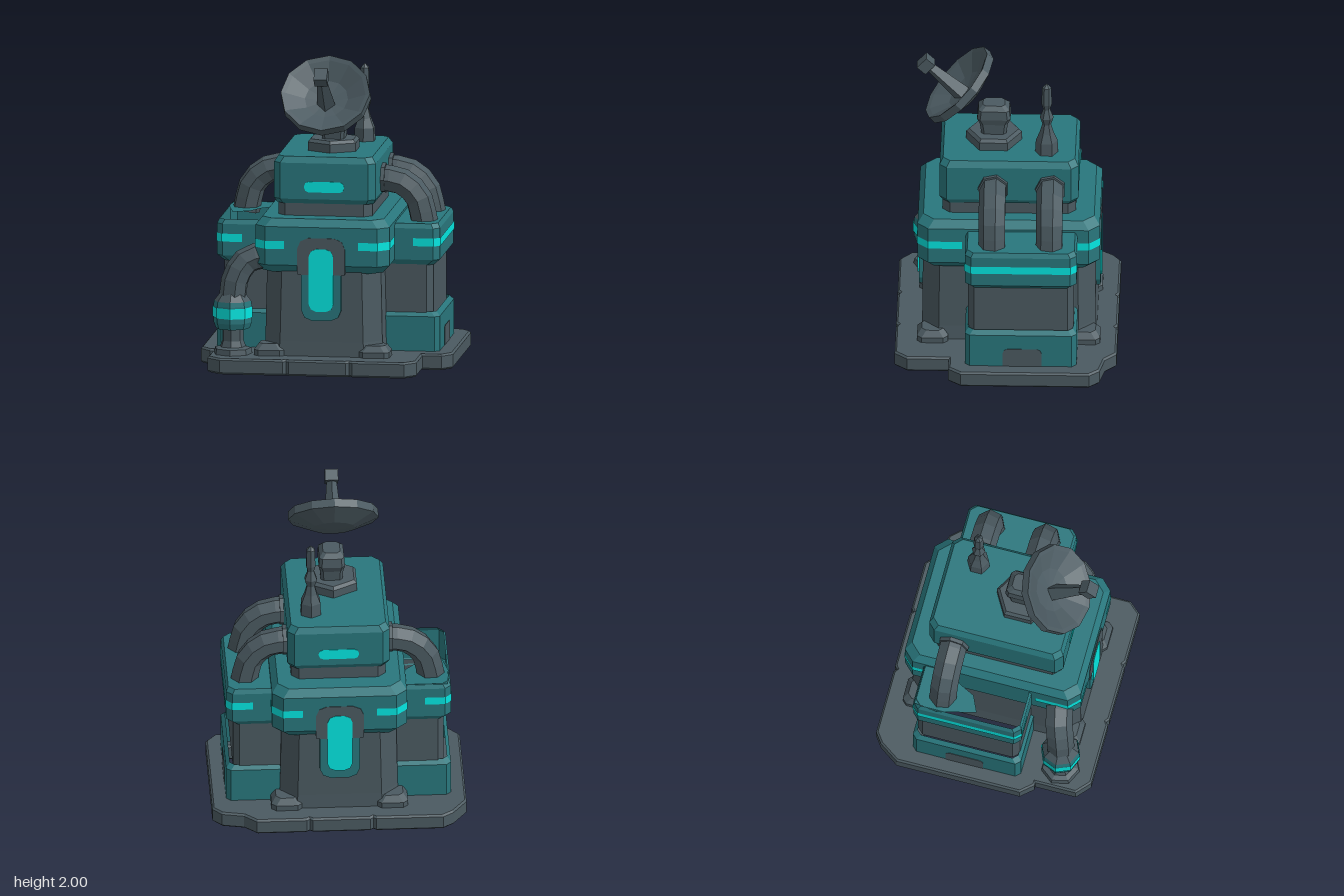
import * as THREE from 'three';

const material = (name, color) =>
  new THREE.MeshStandardMaterial({ name, color, side: THREE.DoubleSide });

// Faceted normals for low-poly parts
function facet(geometry) {
  const g = geometry.index ? geometry.toNonIndexed() : geometry;
  g.computeVertexNormals();
  return g;
}

// Stacked chamfered rectangles; sections are [y, halfX, halfZ]
function loft(sections, chamfer, capTop = true, capBottom = true) {
  const rings = sections.map(([y, hx, hz]) => {
    const c = chamfer;
    return [[hx, -hz + c], [hx, hz - c], [hx - c, hz], [-hx + c, hz],
      [-hx, hz - c], [-hx, -hz + c], [-hx + c, -hz], [hx - c, -hz]].map(([x, z]) => [x, y, z]);
  });
  const v = [];
  const tri = (a, b, c) => v.push(...a, ...b, ...c);
  for (let i = 0; i < 8; i++) {
    const j = (i + 1) % 8;
    for (let k = 0; k + 1 < rings.length; k++) {
      const a = rings[k], b = rings[k + 1];
      tri(a[i], b[i], b[j]);
      tri(a[i], b[j], a[j]);
    }
    const top = rings[rings.length - 1], bottom = rings[0];
    if (capTop) tri([0, top[0][1], 0], top[j], top[i]);
    if (capBottom) tri([0, bottom[0][1], 0], bottom[i], bottom[j]);
  }
  const g = new THREE.BufferGeometry();
  g.setAttribute('position', new THREE.Float32BufferAttribute(v, 3));
  return facet(g);
}

// Upright ribbon following [x, z] points
function ribbon(points, y0, y1) {
  const v = [];
  for (let i = 0; i + 1 < points.length; i++) {
    const [ax, az] = points[i], [bx, bz] = points[i + 1];
    v.push(ax, y0, az, bx, y0, bz, bx, y1, bz, ax, y0, az, bx, y1, bz, ax, y1, az);
  }
  const g = new THREE.BufferGeometry();
  g.setAttribute('position', new THREE.Float32BufferAttribute(v, 3));
  return facet(g);
}

const polygon = points => new THREE.Shape(points.map(([x, y]) => new THREE.Vector2(x, y)));

// Plate with cut corners, extruded forward from z = 0
function plate(w, y0, y1, depth, cutTop, cutBottom) {
  const t = cutTop, b = cutBottom;
  return new THREE.ExtrudeGeometry(polygon([
    [-w + b, y0], [w - b, y0], [w - b * 0.3, y0 + b * 0.3], [w, y0 + b],
    [w, y1 - t], [w - t * 0.3, y1 - t * 0.3], [w - t, y1],
    [-w + t, y1], [-w + t * 0.3, y1 - t * 0.3], [-w, y1 - t],
    [-w, y0 + b], [-w + b * 0.3, y0 + b * 0.3]]), { depth, bevelEnabled: false });
}

const lathe = (points, sides) =>
  facet(new THREE.LatheGeometry(points.map(([r, y]) => new THREE.Vector2(r, y)), sides));

function pipe(points, radius) {
  const curve = new THREE.CatmullRomCurve3(points.map(p => new THREE.Vector3(...p)));
  return facet(new THREE.TubeGeometry(curve, 6, radius, 7));
}

export function createModel() {
  const model = new THREE.Group();
  model.name = 'outpost';
  const grey = material('slate grey', 0x4b5a61);
  const teal = material('teal', 0x29777d);
  const cyan = material('glowing cyan', 0x04f4ee);

  function add(name, geometry, mat, x = 0, y = 0, z = 0, parent = model) {
    const mesh = new THREE.Mesh(geometry, mat);
    mesh.name = name;
    mesh.position.set(x, y, z);
    parent.add(mesh);
    return mesh;
  }

  // Base slab with notched edges, open under the building
  const base = polygon([[-0.82, -0.28], [-0.75, -0.36], [-0.73, -0.36], [-0.73, -0.63], [-0.64, -0.71],
    [-0.23, -0.71], [-0.21, -0.695], [-0.19, -0.71], [0.18, -0.71], [0.2, -0.695], [0.22, -0.71],
    [0.56, -0.71], [0.63, -0.63], [0.63, -0.36], [0.755, -0.36], [0.82, -0.28], [0.82, 0.55],
    [0.76, 0.615], [0.62, 0.645], [0.54, 0.72], [0.22, 0.72], [0.2, 0.705], [0.18, 0.72],
    [-0.19, 0.72], [-0.21, 0.705], [-0.23, 0.72], [-0.66, 0.72], [-0.73, 0.67], [-0.82, 0.54]]);
  base.holes.push(polygon([[-0.68, -0.2], [-0.36, -0.2], [-0.36, -0.5], [0.36, -0.5], [0.36, -0.2],
    [0.68, -0.2], [0.68, 0.42], [0.36, 0.42], [0.36, 0.54], [-0.36, 0.54], [-0.36, 0.42], [-0.68, 0.42]]));
  add('baseSlab', new THREE.ExtrudeGeometry(base, {
    depth: 0.08, bevelSize: 0.012, bevelOffset: -0.012, bevelThickness: 0.012, bevelSegments: 1,
  }).rotateX(-Math.PI / 2), grey, 0, 0.012, 0);

  // Main tower
  const cz = -0.02;
  add('towerWall', loft([[0.09, 0.39, 0.565], [0.2, 0.38, 0.56], [0.67, 0.37, 0.555]], 0.11, false, false),
    grey, 0, 0, cz);
  add('towerCollar', loft([[0.65, 0.39, 0.55], [0.7, 0.435, 0.587], [0.95, 0.435, 0.587], [1, 0.395, 0.55]], 0.07),
    teal, 0, 0, cz);
  add('neck', loft([[0.99, 0.305, 0.43], [1.1, 0.305, 0.43]], 0.05), grey, 0, 0, cz);
  add('upperBox', loft([[1.08, 0.315, 0.43], [1.11, 0.33, 0.447], [1.345, 0.33, 0.447], [1.385, 0.305, 0.425]], 0.045),
    teal, 0, 0, cz);

  // Window, slot and frame on front and back
  for (const [side, turn] of [['front', 0], ['back', Math.PI]]) {
    const face = new THREE.Group();
    face.name = side + 'Window';
    face.position.z = cz;
    face.rotation.y = turn;
    model.add(face);
    add('windowHood', plate(0.155, 0.64, 0.88, 0.091, 0.07, 0.01), grey, 0, 0, 0.5, face);
    add('windowFrame', plate(0.13, 0.34, 0.68, 0.085, 0.01, 0.07), teal, 0, 0, 0.5, face);
    add('windowGlass', plate(0.08, 0.4, 0.81, 0.009, 0.05, 0.05), cyan, 0, 0, 0.585, face);
    add('slotLight', plate(0.13, 1.155, 1.225, 0.005, 0.03, 0.03), cyan, 0, 0, 0.445, face);
  }

  // Mirrored side parts
  for (const s of [1, -1]) {
    const left = s > 0;
    const label = left ? 'left' : 'right';
    const z = -0.105;
    add(label + 'BlockWall', loft([[0.32, 0.18, 0.34], [0.7, 0.18, 0.34]], 0.04, false, false),
      grey, s * 0.5, 0, z);
    add(label + 'BlockFoot', loft([[0.09, 0.195, 0.36], [0.33, 0.195, 0.36], [0.36, 0.17, 0.335]], 0.03, false, false),
      teal, s * 0.53, 0, z);
    add(label + 'BlockCollar', loft([[0.66, 0.15, 0.335], [0.7, 0.195, 0.36], [0.905, 0.195, 0.36],
      [0.935, 0.18, 0.345]], 0.04, left, false), teal, s * 0.53, 0, z);
    add(label + 'Hatch', plate(0.125, 0.1, 0.23, 0.004, 0.03, 0.005).rotateY(s * Math.PI / 2),
      grey, s * 0.724, 0, -0.115);

    // Light stripes
    add(label + 'BlockStripe', ribbon([[0.555, 0.259], [0.689, 0.259], [0.729, 0.217], [0.729, -0.427],
      [0.689, -0.469], [0.555, -0.469]].map(p => [s * p[0], p[1]]), 0.79, 0.842), cyan);
    for (const f of [1, -1]) {
      add(label + 'CollarStripe', ribbon([[0.24, 0.591], [0.367, 0.591], [0.439, 0.519], [0.439, 0.3]]
        .map(p => [s * p[0], cz + f * p[1]]), 0.805, 0.857), cyan);
      add(label + 'CornerFoot', loft([[0.09, 0.1, 0.1], [0.14, 0.1, 0.1], [0.18, 0.07, 0.07]], 0.03),
        grey, s * 0.34, 0, cz + f * 0.49);
    }

    // Bent pipes from the upper box to the side block
    for (const pz of left ? [0.08, -0.29] : [-0.29]) {
      add(label + 'Pipe', pipe([[s * 0.3, 1.2, pz], [s * 0.45, 1.18, pz], [s * 0.56, 1.085, pz],
        [s * 0.605, 0.91, pz]], 0.09), grey);
      add(label + 'PipeFlange', facet(new THREE.CylinderGeometry(0.1, 0.1, 0.04, 7).rotateZ(Math.PI / 2)),
        grey, s * 0.335, 1.2, pz);
    }
  }

  // Remaining roof piece of the open right block
  add('rightBlockRoof', new THREE.ShapeGeometry(polygon([[-0.7, 0.455], [-0.4, 0.455], [-0.4, 0.3],
    [-0.5, 0.2], [-0.55, 0.1], [-0.66, 0.05], [-0.72, 0.3]])).rotateX(-Math.PI / 2), teal, 0, 0.932, 0);

  // Front drain pipe with a lit coupling
  add('drainPipe', pipe([[-0.37, 0.74, 0.43], [-0.49, 0.71, 0.45], [-0.565, 0.6, 0.48], [-0.585, 0.43, 0.49]], 0.09), grey);
  add('drainCap', lathe([[0.08, 0.5], [0.12, 0.45]], 8), grey, -0.585, 0, 0.49);
  add('drainCoupling', lathe([[0.12, 0.45], [0.125, 0.42], [0.125, 0.31], [0.11, 0.27], [0.05, 0.27]], 8),
    teal, -0.585, 0, 0.49);
  add('drainLight', facet(new THREE.CylinderGeometry(0.13, 0.13, 0.068, 8, 1, true)), cyan, -0.585, 0.377, 0.49);
  add('drainFoot', lathe([[0.07, 0.28], [0.07, 0.19], [0.085, 0.15], [0.12, 0.14], [0.13, 0.09]], 7),
    grey, -0.585, 0, 0.49);

  // Dish mount
  add('mountPlate', lathe([[0, 1.46], [0.16, 1.46], [0.18, 1.44], [0.18, 1.37]], 6), grey, 0.015, 0, 0.083);
  add('mountPost', loft([[1.45, 0.07, 0.08], [1.53, 0.075, 0.09], [1.57, 0.085, 0.108], [1.63, 0.08, 0.1],
    [1.66, 0.055, 0.07]], 0.02), grey, 0.02, 0, 0.083);

  // Tilted dish with feed arm
  const dish = new THREE.Group();
  dish.name = 'dish';
  dish.position.set(-0.005, 1.79, 0.327);
  dish.rotation.x = 0.815;
  model.add(dish);
  add('dishBowl', lathe([[0, -0.135], [0.14, -0.12], [0.293, -0.055], [0.29, 0], [0.26, -0.01],
    [0.14, -0.07], [0, -0.09]], 12), grey, 0, 0, 0, dish);
  add('feedArm', facet(new THREE.CylinderGeometry(0.03, 0.06, 0.32, 4)), grey, 0, 0.07, 0.035, dish);
  add('feedHead', new THREE.BoxGeometry(0.085, 0.075, 0.09), grey, 0, 0.235, 0.035, dish);

  // Antenna
  add('antenna', lathe([[0.075, 1.37], [0.07, 1.47], [0.045, 1.53], [0.028, 1.59], [0.045, 1.64], [0.022, 1.7],
    [0.034, 1.74], [0.03, 1.86], [0, 1.89]], 6), grey, 0.17, 0, -0.26);

  return model;
}
